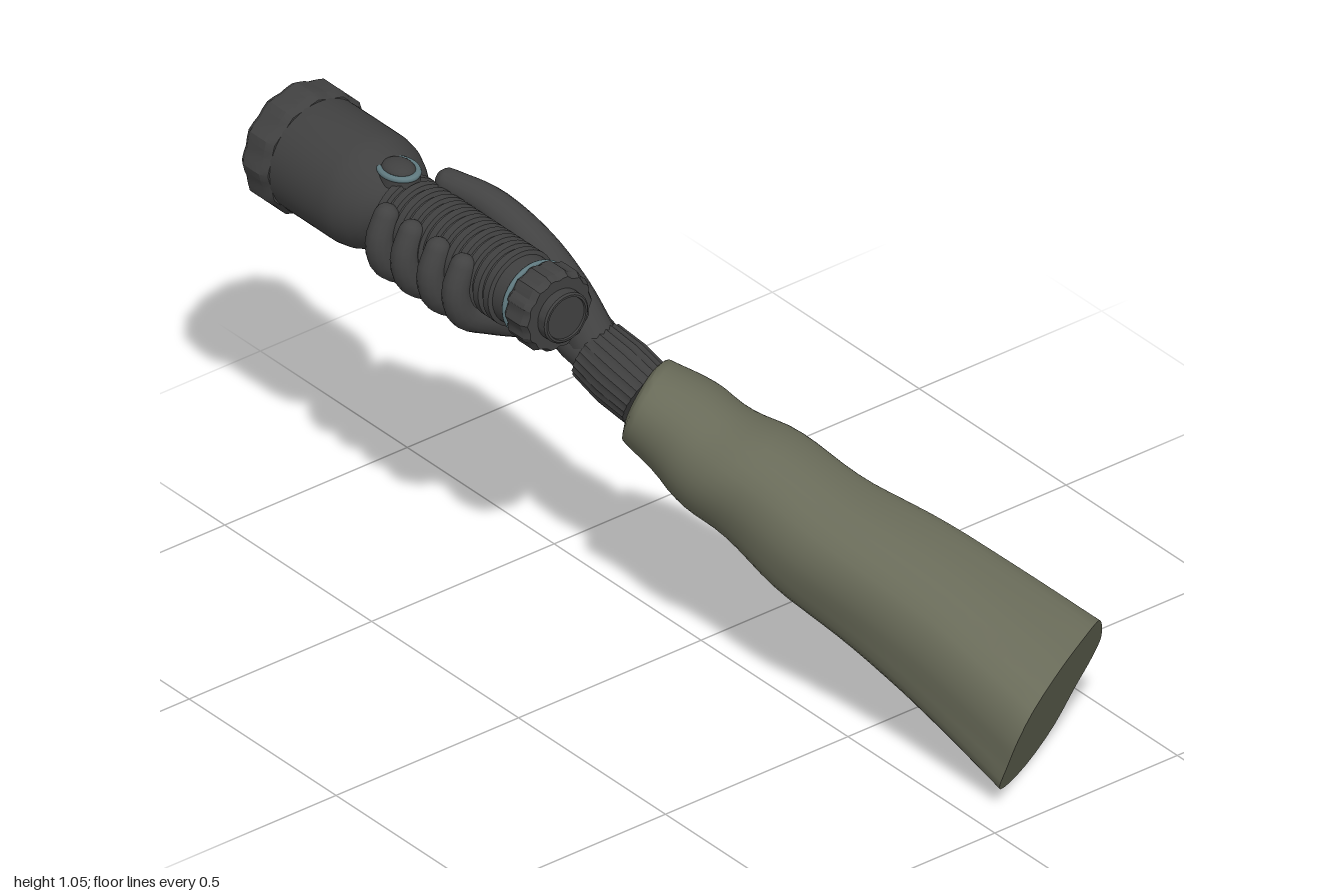
import * as THREE from 'three';
import { toCreasedNormals } from 'three/addons/utils/BufferGeometryUtils.js';

const mat = (name, color, side = THREE.FrontSide) => {
  const m = new THREE.MeshStandardMaterial({ color, side });
  m.name = name;
  return m;
};

// Skin a list of rings (each a loop of Vector3) and close both ends
function loft(rings, crease = 0.7) {
  const n = rings[0].length, pos = [], idx = [];
  const put = v => pos.push(v.x, v.y, v.z);
  rings.forEach(r => r.forEach(put));
  for (let i = 0; i < rings.length - 1; i++) {
    for (let j = 0; j < n; j++) {
      const k = (j + 1) % n, a = i * n + j, b = i * n + k;
      idx.push(a, a + n, b, b, a + n, b + n);
    }
  }
  const last = rings.length - 1;
  for (const [i, flip] of [[0, false], [last, true]]) {
    const c = pos.length / 3;
    put(rings[i].reduce((s, v) => s.add(v), new THREE.Vector3()).divideScalar(n));
    for (let j = 0; j < n; j++) {
      const a = i * n + j, b = i * n + (j + 1) % n;
      idx.push(c, flip ? b : a, flip ? a : b);
    }
  }
  const g = new THREE.BufferGeometry();
  g.setAttribute('position', new THREE.Float32BufferAttribute(pos, 3));
  g.setIndex(idx);
  return toCreasedNormals(g, crease);
}

// Linear lookup in an evenly spaced list
function lerpList(list, t) {
  const f = t * (list.length - 1), i = Math.min(Math.floor(f), list.length - 2);
  return THREE.MathUtils.lerp(list[i], list[i + 1], f - i);
}

// Tapered tube with domed ends; rib adds lengthwise ridges
function taperTube(points, radii, { steps = 20, sides = 14, rib = 0 } = {}) {
  const curve = new THREE.CatmullRomCurve3(points.map(p => new THREE.Vector3(...p)));
  const { tangents, normals, binormals } = curve.computeFrenetFrames(steps);
  const rings = [];
  const ring = (i, shift, scale) => {
    const r = lerpList(radii, i / steps), c = curve.getPointAt(i / steps).addScaledVector(tangents[i], shift * r);
    rings.push(Array.from({ length: sides }, (_, j) => {
      const a = j / sides * Math.PI * 2, q = r * scale * (1 - rib * (j % 2));
      return c.clone().addScaledVector(normals[i], q * Math.cos(a)).addScaledVector(binormals[i], -q * Math.sin(a));
    }));
  };
  const dome = rib ? [] : [0.12, 0.5, 0.9, 1.25];
  dome.forEach(a => ring(0, -Math.cos(a), Math.sin(a)));
  for (let i = 0; i <= steps; i++) ring(i, 0, 1);
  [...dome].reverse().forEach(a => ring(steps, Math.cos(a), Math.sin(a)));
  return loft(rings);
}

// Turned part along z; profile is [radius, z] from back to front, flutes scallop the rim
function turned(profile, flutes = 0, depth = 0.03) {
  const g = new THREE.LatheGeometry(profile.map(p => new THREE.Vector2(...p)), 48).rotateX(Math.PI / 2);
  const p = g.attributes.position;
  for (let i = 0; flutes && i < p.count; i++) {
    const a = Math.atan2(p.getY(i), p.getX(i));
    const s = 1 - depth * (0.5 - 0.5 * Math.cos(a * flutes));
    p.setXY(i, p.getX(i) * s, p.getY(i) * s);
  }
  return toCreasedNormals(g, 0.5);
}

export function createModel() {
  const root = new THREE.Group();
  const cloth = mat('olive cloth', 0x686a58);
  const glove = mat('dark glove', 0x424242);
  const knit = mat('knit cuff', 0x3e3e3e);
  const metal = mat('dark metal', 0x404040);
  const trim = mat('blue grey trim', 0x607a80);
  const glass = mat('pale lens', 0x8b9ba0);
  const add = (name, geo, m, parent = root) => {
    const mesh = new THREE.Mesh(geo, m);
    mesh.name = name;
    parent.add(mesh);
    return mesh;
  };

  // Sleeve: slanted sections that shrink from the cut end to the wrist
  const outline = new THREE.CatmullRomCurve3([
    [0.46, 0.2], [0.44, 0.25], [0.4, 0.31], [0.37, 0.335], [0.3, 0.335], [0.2, 0.32], [0.1, 0.27], [0.065, 0.2],
    [0.06, 0.13], [0.06, 0.06], [0.12, 0.02], [0.24, 0], [0.34, 0.03], [0.4, 0.11], [0.44, 0.15],
  ].map(([x, y]) => new THREE.Vector3((x - 0.26) / 0.2, (y - 0.17) / 0.168, 0)), true);
  const sections = [ // centre x, y, z, half width, half height
    [0.26, 0.17, 0.88, 0.2, 0.168], [0.163, 0.3, 0.64, 0.165, 0.16], [0.06, 0.41, 0.4, 0.145, 0.147],
    [-0.008, 0.495, 0.2, 0.133, 0.137], [-0.053, 0.55, 0.05, 0.122, 0.122], [-0.1, 0.615, -0.06, 0.1, 0.1],
    [-0.102, 0.62, -0.07, 0.078, 0.078],
  ];
  const centres = new THREE.CatmullRomCurve3(sections.map(s => new THREE.Vector3(s[0], s[1], s[2])));
  const sleeveRings = [];
  for (let i = 0; i <= 36; i++) {
    const t = i / 36, c = centres.getPoint(t);
    const w = lerpList(sections.map(s => s[3]), t), h = lerpList(sections.map(s => s[4]), t);
    const fold = 0.055 * Math.sin(Math.PI * Math.min(1, t * 1.05));
    sleeveRings.push(Array.from({ length: 40 }, (_, j) => {
      const p = outline.getPoint(j / 40), a = Math.atan2(p.y, p.x);
      p.lerp(new THREE.Vector3(Math.cos(a), Math.sin(a), 0), Math.min(1, t * 1.6));
      const s = 1 + fold * Math.sin(t * 26 + 2 * Math.sin(a + 0.6)) * Math.min(1, t * 1.5);
      const dx = p.x * w * s, dy = p.y * h * s;
      return new THREE.Vector3(c.x + dx, c.y + dy, c.z - 0.53 * dx + 0.42 * dy);
    }));
  }
  add('sleeve', loft(sleeveRings, 0.9), cloth);

  // Ribbed wrist cuff
  add('wristCuff', taperTube([[-0.1, 0.625, -0.06], [-0.115, 0.655, -0.13], [-0.125, 0.68, -0.2]],
    [0.076, 0.08, 0.074], { steps: 6, sides: 48, rib: 0.05 }), knit);

  // Palm
  const palm = [ // z, centre x, y, half width, half height
    [-0.17, -0.125, 0.68, 0.065, 0.058], [-0.25, -0.12, 0.695, 0.07, 0.06], [-0.35, -0.11, 0.715, 0.065, 0.06],
    [-0.45, -0.105, 0.732, 0.06, 0.066], [-0.54, -0.105, 0.743, 0.058, 0.067], [-0.6, -0.112, 0.748, 0.048, 0.056],
    [-0.635, -0.125, 0.75, 0.032, 0.037], [-0.652, -0.135, 0.75, 0.01, 0.012],
  ].map(([z, x, y, w, h]) => Array.from({ length: 24 }, (_, j) => {
    const a = j / 24 * Math.PI * 2;
    return new THREE.Vector3(x + w * Math.cos(a), y + h * Math.sin(a), z);
  }));
  add('palm', loft(palm, 1.2), glove);

  // Thumb reaching up to the switch
  add('thumb', taperTube([[-0.13, 0.7, -0.2], [-0.145, 0.8, -0.27], [-0.17, 0.89, -0.35],
    [-0.205, 0.955, -0.46], [-0.24, 0.975, -0.56]], [0.055, 0.05, 0.043, 0.038, 0.03]), glove);

  // Four fingers curling under the torch
  [-0.575, -0.49, -0.4, -0.315].forEach((z, i) => {
    const k = 0.25 * (z + 0.45);
    add('finger' + (i + 1), taperTube([[-0.11, 0.735 - k * 0.5, z + 0.01], [-0.2, 0.748 - k * 0.3, z + 0.005],
      [-0.32, 0.785, z], [-0.4, 0.83, z], [-0.418, 0.89, z], [-0.4, 0.945, z]],
      [0.045, 0.043, 0.04, 0.037, 0.033, 0.028]), glove);
  });

  // Torch
  const torch = new THREE.Group();
  torch.name = 'torch';
  torch.position.set(-0.315, 0.9, 0);
  root.add(torch);
  add('bezel', turned([[0, -0.985], [0.116, -0.985], [0.122, -1], [0.138, -1], [0.148, -0.985],
    [0.148, -0.93], [0.138, -0.912], [0.12, -0.912]], 12, 0.05), metal, torch);
  add('head', turned([[0.12, -0.93], [0.133, -0.92], [0.133, -0.74], [0.128, -0.71], [0.115, -0.68],
    [0.097, -0.65], [0.085, -0.63], [0.083, -0.61]]), metal, torch);
  const grip = [[0.083, -0.63]];
  for (let i = 0; i < 12; i++) {
    const z = -0.605 + i * 0.034;
    grip.push([0.081, z - 0.013], [0.09, z - 0.009], [0.09, z + 0.009], [0.081, z + 0.013]);
  }
  grip.push([0.081, -0.155]);
  add('ribbedGrip', turned(grip), metal, torch);
  add('tailCap', turned([[0.075, -0.165], [0.09, -0.165], [0.097, -0.155], [0.097, -0.105], [0.088, -0.09],
    [0, -0.09]], 14, 0.07), metal, torch);
  add('tailButton', turned([[0.06, -0.095], [0.06, -0.068], [0.056, -0.064], [0.051, -0.064], [0.05, -0.069],
    [0, -0.069]]), metal, torch);
  add('tailRing', new THREE.TorusGeometry(0.083, 0.006, 8, 40).translate(0, 0, -0.174), trim, torch);

  // Lens with rim and bulb
  add('lens', new THREE.CircleGeometry(0.114, 40).rotateY(Math.PI).translate(0, 0, -0.99), glass, torch);
  add('lensRim', new THREE.TorusGeometry(0.115, 0.006, 8, 40).translate(0, 0, -0.992), trim, torch);
  add('bulb', new THREE.CylinderGeometry(0.028, 0.028, 0.006, 20).rotateX(Math.PI / 2).translate(0, 0, -0.992), glass, torch);

  // Switch on top
  add('switchBase', new THREE.CylinderGeometry(0.042, 0.044, 0.04, 28).scale(1, 1, 1.25).translate(0, 0.078, -0.638), metal, torch);
  add('switchRing', new THREE.TorusGeometry(0.038, 0.007, 8, 32).rotateX(Math.PI / 2).scale(1, 1, 1.25)
    .translate(0, 0.098, -0.638), trim, torch);
  add('switchButton', new THREE.SphereGeometry(0.034, 24, 12).scale(1, 0.55, 1.25).translate(0, 0.1, -0.638), metal, torch);

  return root;
}
